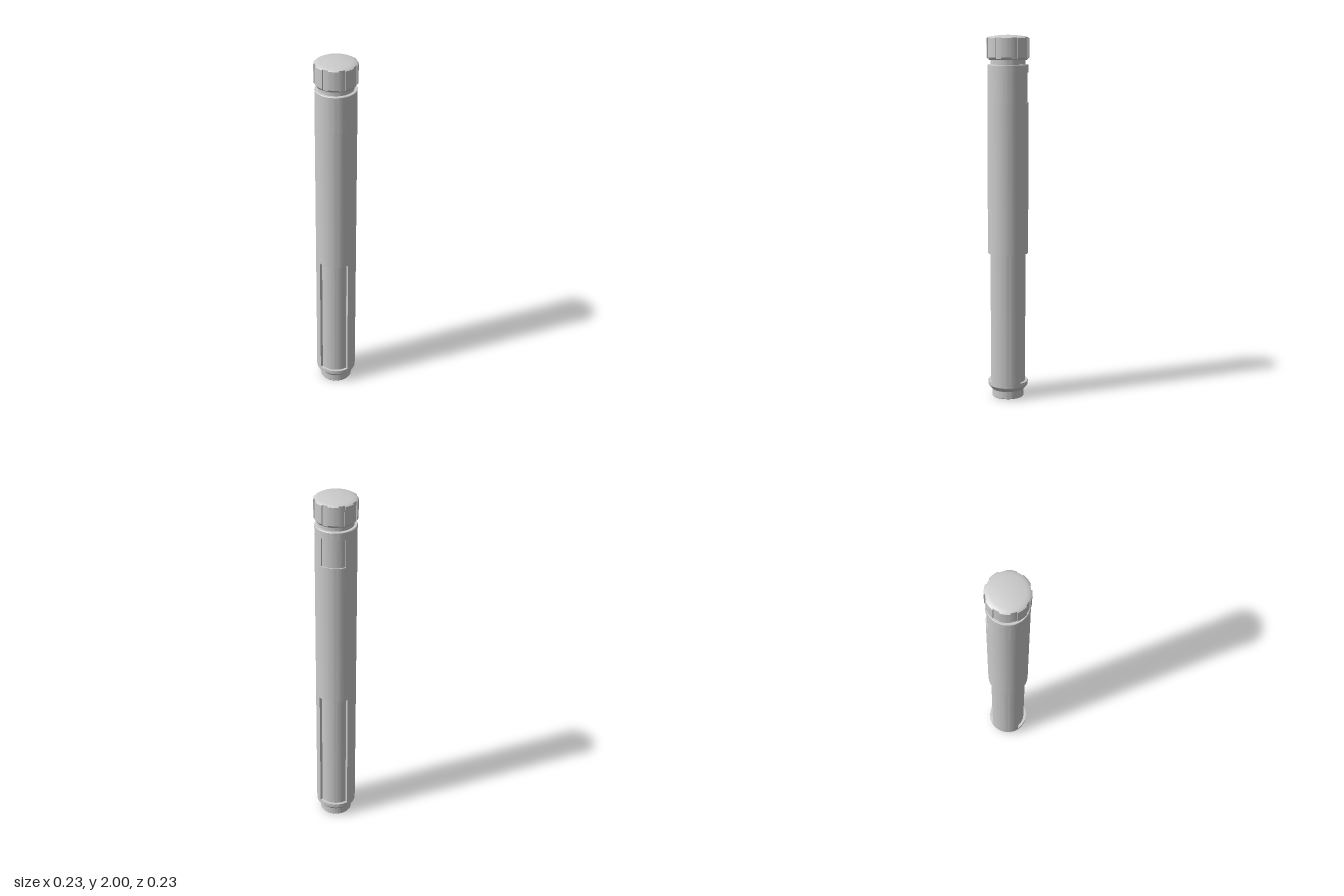
import * as THREE from 'three';
import { toCreasedNormals } from 'three/addons/utils/BufferGeometryUtils.js';

const material = new THREE.MeshStandardMaterial({ color: 0xcccccc, side: THREE.DoubleSide });
const rad = THREE.MathUtils.degToRad;
const R = 0.111; // body radius

export function createModel() {
  const model = new THREE.Group();

  const group = (name) => {
    const g = new THREE.Group();
    g.name = name;
    model.add(g);
    return g;
  };

  // Revolve an [r, y] profile from angle a0 to a1 (degrees, 0 = front, 90 = left)
  const turned = (parent, name, profile, a0 = 0, a1 = 360) => {
    const points = profile.map(([r, y]) => new THREE.Vector2(r, y));
    const segments = Math.max(4, Math.ceil((a1 - a0) / 4));
    const geometry = new THREE.LatheGeometry(points, segments, rad(a0), rad(a1 - a0));
    const mesh = new THREE.Mesh(toCreasedNormals(geometry, rad(25)), material);
    mesh.name = name;
    parent.add(mesh);
  };

  // Flat radial wall with an [r, y] outline, standing at angle a
  const wall = (parent, name, outline, a) => {
    const shape = new THREE.Shape(outline.map(([r, y]) => new THREE.Vector2(r, y)));
    const mesh = new THREE.Mesh(new THREE.ShapeGeometry(shape), material);
    mesh.rotation.y = rad(a - 90);
    mesh.name = name;
    parent.add(mesh);
  };

  // Band of the body with sunken panels of radius r, each spanning [a0, a1]
  const panelBand = (name, y0, y1, r, spans) => {
    const g = group(name);
    spans.forEach(([a0, a1], i) => {
      turned(g, 'sunkenPanel', [[R, y0], [r, y0], [r, y1], [R, y1]], a0, a1);
      const next = i + 1 < spans.length ? spans[i + 1][0] : spans[0][0] + 360;
      turned(g, 'bandWall', [[R, y0], [R, y1]], a1, next);
      for (const a of [a0, a1]) {
        wall(g, 'panelSide', [[r, y0], [R, y0], [R, y1], [r, y1]], a);
      }
    });
  };

  // Hollow foot with the chamfer up to the body
  turned(model, 'foot', [
    [0, 0.2], [0.073, 0.2], [0.073, 0.003], [0.076, 0], [0.086, 0], [0.088, 0.003],
    [0.088, 0.042], [0.091, 0.045], [R, 0.068], [R, 0.09],
  ]);

  // Body: two long grip panels low down, one shallow panel high on the back
  panelBand('gripPanels', 0.09, 0.815, 0.096, [[-56, 34], [124, 214]]);
  turned(model, 'middleBody', [[R, 0.815], [R, 1.64]]);
  panelBand('upperPanel', 1.64, 1.8, 0.104, [[135, 206]]);
  turned(model, 'shoulderAndNeck', [
    [R, 1.8], [R, 1.84], [0.108, 1.843], [0.094, 1.843], [0.094, 1.872],
  ]);

  // Cap: eight raised grips round a domed core
  const cap = group('cap');
  const rc = 0.109;
  const dome = [[rc, 1.987]];
  for (let i = 6; i >= 0; i--) {
    const r = (0.104 * i) / 6;
    dome.push([r, 2 - 0.01 * (r / 0.104) ** 2]);
  }
  turned(cap, 'capCore', [[0.094, 1.868], [0.104, 1.868], [rc, 1.874], ...dome]);
  const grip = [[rc, 1.874], [0.115, 1.882], [0.115, 1.983], [rc, 1.987]];
  for (let k = 0; k < 8; k++) {
    const a = -9 + 45 * k;
    turned(cap, 'capGrip', grip, a - 14, a + 14);
    wall(cap, 'capGripSide', grip, a - 14);
    wall(cap, 'capGripSide', grip, a + 14);
  }

  return model;
}
